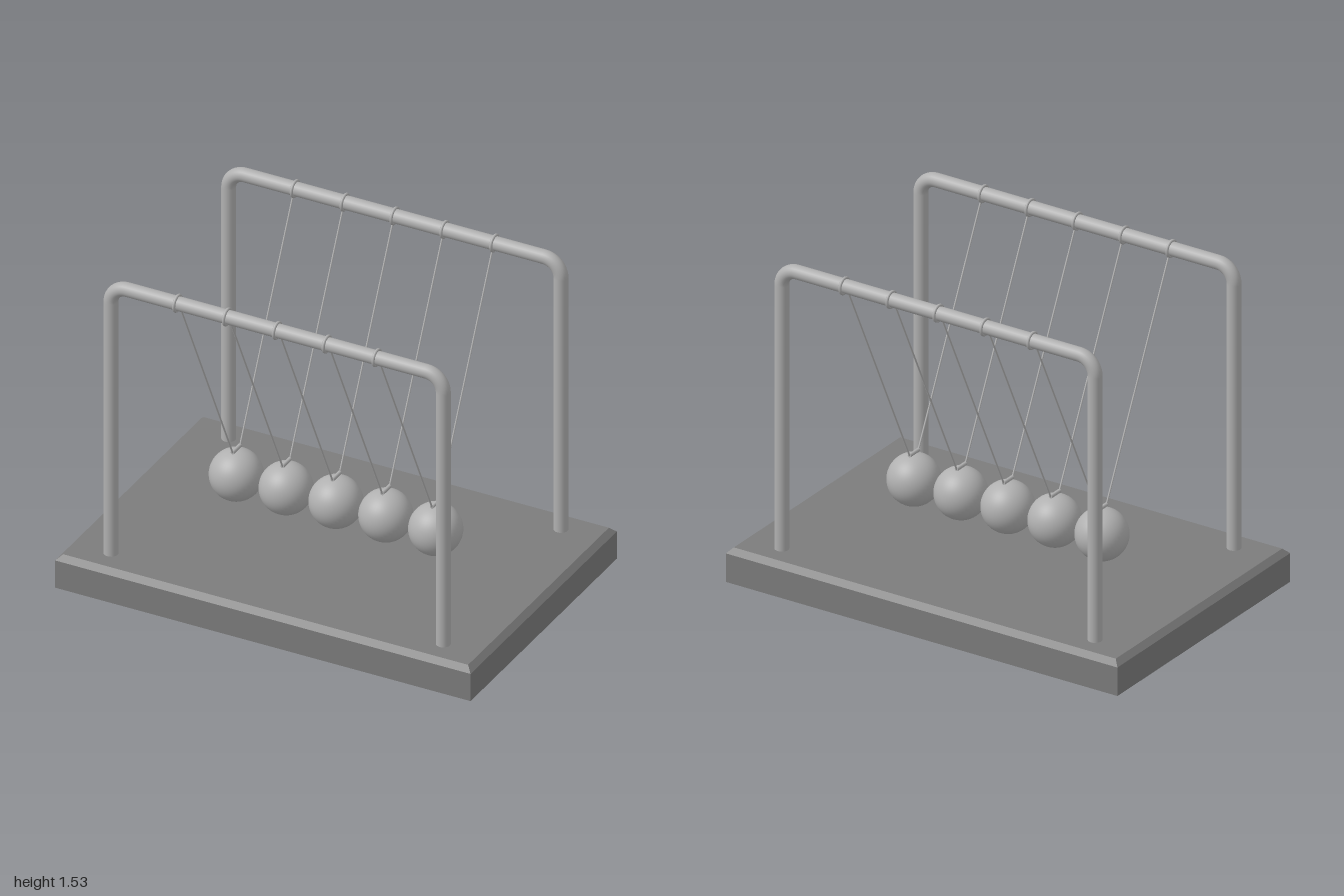
import * as THREE from 'three';

const BAR_Y = 1.49, BAR_Z = 0.535, LEG_X = 0.8, BEND = 0.08, ROD_R = 0.032;
const BASE_H = 0.16, BALL_R = 0.118, BALL_Y = 0.357, SPACING = 0.24;

const steel = new THREE.MeshStandardMaterial({ color: 0xb0b0b0 });
steel.name = 'steel';
const slate = new THREE.MeshStandardMaterial({ color: 0x7c7c7c });
slate.name = 'slate';

function part(name, geometry, material, parent, x = 0, y = 0, z = 0) {
  const mesh = new THREE.Mesh(geometry, material);
  mesh.name = name;
  mesh.position.set(x, y, z);
  parent.add(mesh);
  return mesh;
}

// Cylinder running between two points
function rod(name, a, b, radius, sides, parent) {
  const dir = b.clone().sub(a);
  const mesh = part(name, new THREE.CylinderGeometry(radius, radius, dir.length(), sides), steel, parent);
  mesh.position.copy(a).add(b).multiplyScalar(0.5);
  mesh.quaternion.setFromUnitVectors(new THREE.Vector3(0, 1, 0), dir.normalize());
  return mesh;
}

// Slab with bevelled top edges
function baseGeometry() {
  const bevel = 0.025;
  const box = new THREE.BoxGeometry(2, BASE_H, 1.33, 1, 2, 1);
  const p = box.attributes.position;
  for (let i = 0; i < p.count; i++) {
    const y = p.getY(i) + BASE_H / 2;
    if (y > BASE_H * 0.75) {
      p.setX(i, p.getX(i) - Math.sign(p.getX(i)) * bevel);
      p.setZ(i, p.getZ(i) - Math.sign(p.getZ(i)) * bevel);
      p.setY(i, BASE_H);
    } else {
      p.setY(i, y > 0.01 ? BASE_H - bevel : 0);
    }
  }
  const flat = box.toNonIndexed();
  flat.computeVertexNormals();
  return flat;
}

export function createModel() {
  const model = new THREE.Group();
  model.name = 'swingingBalls';
  const v = (x, y, z) => new THREE.Vector3(x, y, z);

  part('base', baseGeometry(), slate, model);

  // Two bent-rod frames
  const bendGeo = new THREE.TorusGeometry(BEND, ROD_R, 24, 12, Math.PI / 2);
  for (const side of [1, -1]) {
    const frame = new THREE.Group();
    frame.name = side > 0 ? 'frontFrame' : 'backFrame';
    frame.position.z = side * BAR_Z;
    model.add(frame);
    const inner = LEG_X - BEND;
    rod('topBar', v(-inner, BAR_Y, 0), v(inner, BAR_Y, 0), ROD_R, 24, frame);
    for (const s of [1, -1]) {
      const label = s > 0 ? 'left' : 'right';
      rod(label + 'Leg', v(s * LEG_X, BASE_H - 0.02, 0), v(s * LEG_X, BAR_Y - BEND, 0), ROD_R, 24, frame);
      const bend = part(label + 'Bend', bendGeo, steel, frame, s * inner, BAR_Y - BEND, 0);
      if (s < 0) bend.rotation.y = Math.PI;
    }
  }

  // Five balls, each with an eyelet, two cords and two rings on the bars
  const ballGeo = new THREE.SphereGeometry(BALL_R, 40, 28);
  const ringGeo = new THREE.TorusGeometry(0.035, 0.007, 10, 32);
  ringGeo.rotateY(Math.PI / 2);
  for (let i = -2; i <= 2; i++) {
    const pendulum = new THREE.Group();
    pendulum.name = 'pendulum' + (i + 3);
    pendulum.position.x = i * SPACING;
    model.add(pendulum);
    part('ball', ballGeo, steel, pendulum, 0, BALL_Y, 0);
    const eyeY = BALL_Y + BALL_R + 0.007;
    rod('eyelet', v(0, eyeY, -0.035), v(0, eyeY, 0.035), 0.009, 12, pendulum);
    for (const s of [1, -1]) {
      rod('cord', v(0, eyeY, s * 0.034), v(0, BAR_Y - 0.032, s * (BAR_Z - 0.024)), 0.004, 8, pendulum);
      part('ring', ringGeo, steel, pendulum, 0, BAR_Y, s * BAR_Z);
    }
  }
  return model;
}
